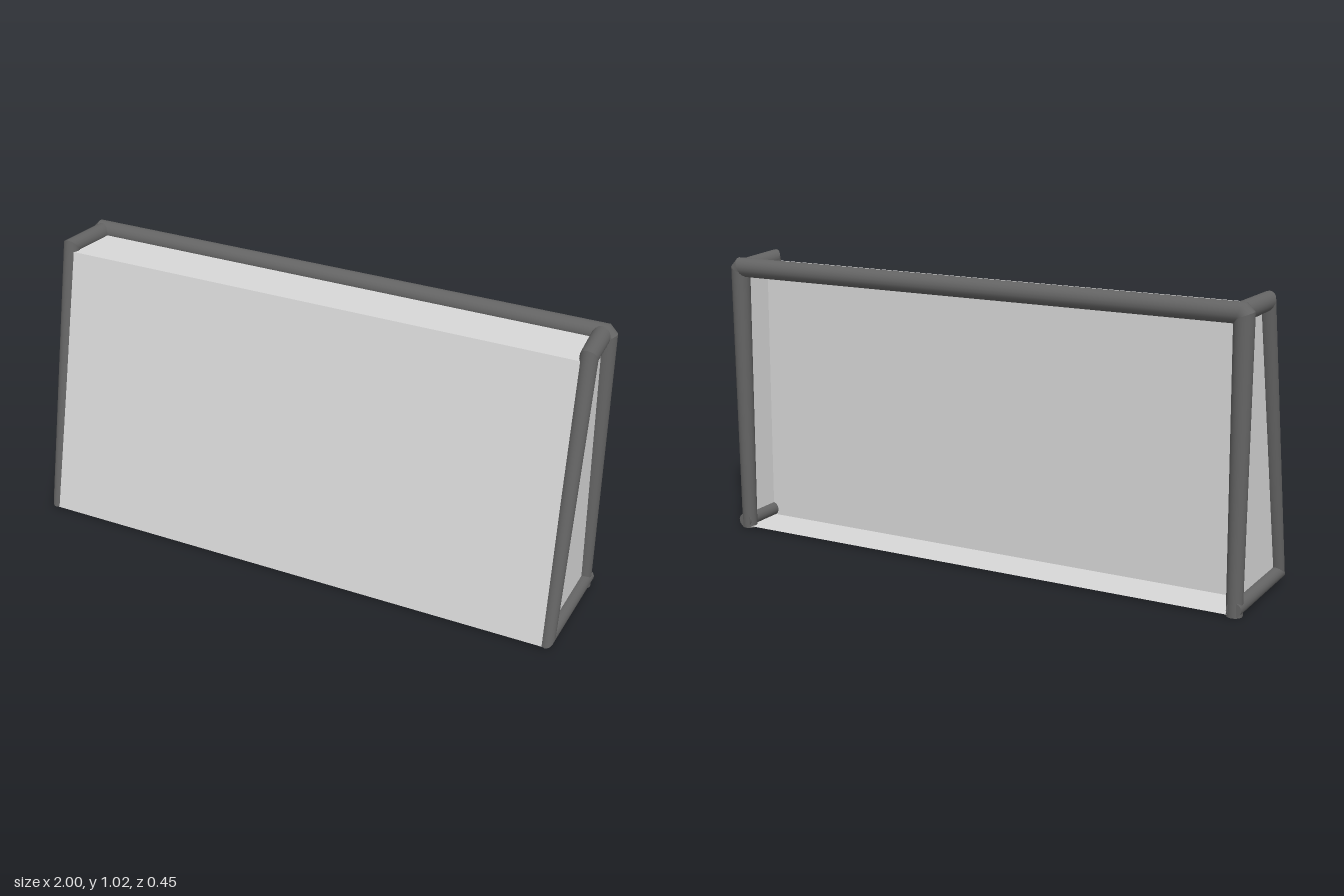
import * as THREE from 'three';

const tubeMat = new THREE.MeshStandardMaterial({ color: 0x646464, side: THREE.DoubleSide });
tubeMat.name = 'darkGreyTube';
const panelMat = new THREE.MeshStandardMaterial({ color: 0xd8d8d8, side: THREE.DoubleSide });
panelMat.name = 'lightGreyPanel';

const V = (x, y, z) => new THREE.Vector3(x, y, z);

// Round tube along a flat path with mitred corners; each point is [x, y, z, radius].
// B is the normal of the plane the path bends in.
function mitredTube(path, B, sides = 18) {
  const pts = path.map(p => V(p[0], p[1], p[2]));
  const segN = [];
  for (let i = 0; i < pts.length - 1; i++) {
    segN.push(B.clone().cross(pts[i + 1].clone().sub(pts[i])).normalize());
  }
  const miters = pts.map((_, i) => {
    const a = segN[Math.max(i - 1, 0)], b = segN[Math.min(i, segN.length - 1)];
    return a.clone().add(b).divideScalar(1 + a.dot(b));
  });
  const pos = [], nor = [], idx = [];
  const ring = (i, N, flat) => {
    const start = pos.length / 3;
    for (let j = 0; j <= sides; j++) {
      const t = j / sides * Math.PI * 2, c = Math.cos(t), s = Math.sin(t), r = path[i][3];
      const p = pts[i].clone().addScaledVector(miters[i], c * r).addScaledVector(B, s * r);
      const n = flat || N.clone().multiplyScalar(c).addScaledVector(B, s);
      pos.push(p.x, p.y, p.z);
      nor.push(n.x, n.y, n.z);
    }
    return start;
  };
  segN.forEach((N, i) => {
    const a = ring(i, N), b = ring(i + 1, N);
    for (let j = 0; j < sides; j++) {
      idx.push(a + j, a + j + 1, b + j, a + j + 1, b + j + 1, b + j);
    }
  });
  // Flat end caps
  const last = pts.length - 1;
  const startDir = pts[0].clone().sub(pts[1]).normalize();
  const endDir = pts[last].clone().sub(pts[last - 1]).normalize();
  const s = ring(0, segN[0], startDir), e = ring(last, segN[last - 1], endDir);
  for (let j = 1; j < sides - 1; j++) {
    idx.push(s, s + j + 1, s + j, e, e + j, e + j + 1);
  }
  const g = new THREE.BufferGeometry();
  g.setAttribute('position', new THREE.Float32BufferAttribute(pos, 3));
  g.setAttribute('normal', new THREE.Float32BufferAttribute(nor, 3));
  g.setIndex(idx);
  return g;
}

// Flat four-cornered sheet, corners counter-clockwise seen from outside
function sheet(a, b, c, d) {
  const g = new THREE.BufferGeometry();
  g.setAttribute('position', new THREE.Float32BufferAttribute([...a, ...b, ...c, ...d], 3));
  g.setIndex([0, 1, 2, 0, 2, 3]);
  g.computeVertexNormals();
  return g;
}

export function createModel() {
  const model = new THREE.Group();
  model.name = 'framedScreen';
  const add = (name, geometry, material) => {
    const mesh = new THREE.Mesh(geometry, material);
    mesh.name = name;
    model.add(mesh);
  };

  // Back frame: two posts joined by a top rail
  const half = [[0.968, 0, -0.19, 0.027], [0.966, 0.974, -0.191, 0.034], [0.957, 0.983, -0.192, 0.035]];
  const mirrored = half.map(([x, ...rest]) => [-x, ...rest]).reverse();
  add('backFrame', mitredTube([...half, ...mirrored], V(0, 0, 1)), tubeMat);

  // Side frames and the sheets inside them
  for (const s of [1, -1]) {
    const side = s > 0 ? 'left' : 'right';
    add(side + 'SideFrame', mitredTube([
      [s * 0.95, 0.982, -0.185, 0.033],
      [s * 0.967, 0.99, 0.001, 0.03],
      [s * 0.973, 0.031, 0.197, 0.025],
      [s * 0.973, 0.027, -0.213, 0.026],
    ], V(1, 0, 0)), tubeMat);
    const corners = [
      [s * 0.968, 0.01, 0.21], [s * 0.968, 0.01, -0.19],
      [s * 0.96, 0.98, -0.19], [s * 0.96, 0.98, 0.015],
    ];
    if (s < 0) corners.reverse();
    add(side + 'SidePanel', sheet(...corners), panelMat);
  }

  // Sloping front, narrow top and floor
  const w = 0.968, t = 0.96, f = 0.024;
  add('frontPanel', sheet([-w, 0.007, 0.224], [w, 0.007, 0.224], [t, 0.98, f], [-t, 0.98, f]), panelMat);
  add('topPanel', sheet([-t, 0.98, f], [t, 0.98, f], [t, 0.98, -0.19], [-t, 0.98, -0.19]), panelMat);
  add('bottomPanel', sheet([-w, 0.007, -0.21], [w, 0.007, -0.21], [w, 0.007, 0.224], [-w, 0.007, 0.224]), panelMat);

  // Upright sheet set into the open back
  const z = -0.04;
  add('innerPanel', sheet([w, 0.007, z], [-w, 0.007, z], [-t, 0.98, z], [t, 0.98, z]), panelMat);

  return model;
}
